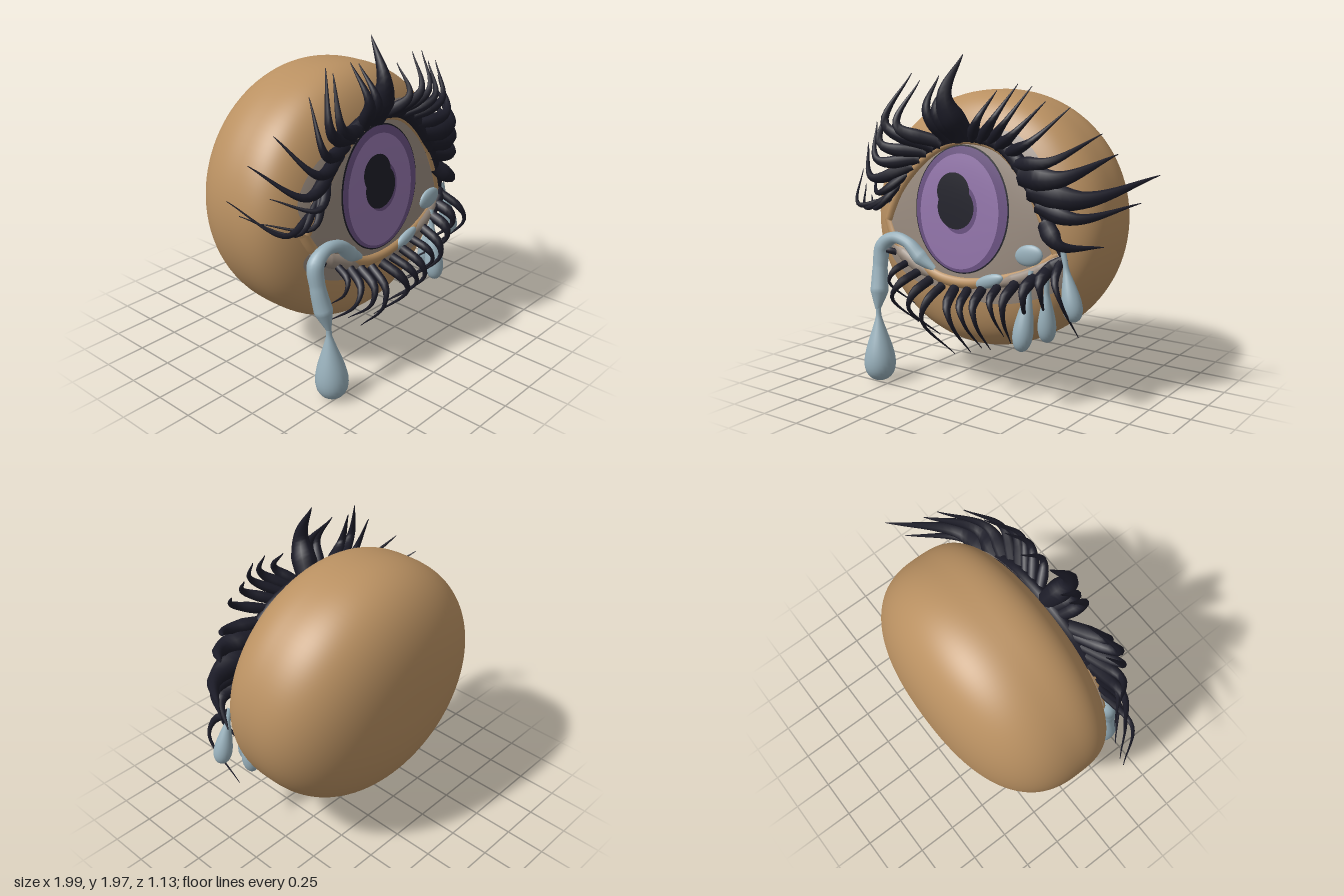
import * as THREE from 'three';
import { mergeVertices } from 'three/addons/utils/BufferGeometryUtils.js';

const material = (name, color, side = THREE.FrontSide) => {
  const m = new THREE.MeshStandardMaterial({ color, side });
  m.name = name;
  return m;
};
const V = (x = 0, y = 0, z = 0) => new THREE.Vector3(x, y, z);

// Body dimensions: centre, half sizes, backward lean, depth and roundness of the front and back
const CX = -0.045, CY = 1.0, CZ = -0.05, A = 0.805, B = 0.765, LEAN = 0.055;
const FRONT = { d: 0.4, n: 3.2 }, BACK = { d: 0.51, n: 2.45 };

// Height of the front surface above a point
function front(x, y) {
  const r = Math.min(1, Math.hypot((x - CX) / A, (y - CY) / B));
  return CZ - LEAN * (y - CY) + FRONT.d * Math.pow(1 - Math.pow(r, FRONT.n), 1 / FRONT.n);
}

// Almond eye opening, from the right corner to the left corner
const flatCurve = (pts) => new THREE.CatmullRomCurve3(pts.map(([x, y]) => V(x, y)));
const lowEdge = flatCurve([[-0.61, 0.98], [-0.54, 0.86], [-0.36, 0.76], [-0.18, 0.69], [0, 0.68], [0.2, 0.72], [0.42, 0.8], [0.55, 0.9]]);
const topEdge = flatCurve([[-0.61, 0.98], [-0.52, 1.16], [-0.36, 1.34], [-0.18, 1.45], [0, 1.48], [0.2, 1.43], [0.4, 1.22], [0.55, 0.9]]);
const EYE = V(-0.03, 1.05);

// Point on an edge, scaled outwards from the eye centre
const around = (edge, t, k) => edge.getPoint(t).sub(EYE).multiplyScalar(k).add(EYE);

export function createModel() {
  const model = new THREE.Group();
  const skin = material('skin', 0xba9162);
  const grey = material('greyWhite', 0x998b7f, THREE.DoubleSide);
  const ring = material('darkPurple', 0x6a5182, THREE.DoubleSide);
  const purple = material('purple', 0x9375ab, THREE.DoubleSide);
  const black = material('pupilBlack', 0x1f1f29, THREE.DoubleSide);
  const lashMat = material('lashBlack', 0x1c1c28);
  const tearMat = material('tearBlue', 0x98b0bb);

  const add = (name, geometry, mat, parent = model) => {
    const mesh = new THREE.Mesh(geometry, mat);
    mesh.name = name;
    parent.add(mesh);
    return mesh;
  };
  const group = (name) => {
    const g = new THREE.Group();
    g.name = name;
    model.add(g);
    return g;
  };

  // Tube whose radius follows a list of values along its path
  function taper(name, points, radii, mat, parent = model, segs = 18, sides = 8) {
    const curve = new THREE.CatmullRomCurve3(points);
    const geo = new THREE.TubeGeometry(curve, segs, 1, sides);
    const pos = geo.attributes.position, v = V();
    for (let i = 0; i <= segs; i++) {
      const c = curve.getPointAt(i / segs);
      const f = curve.getUtoTmapping(i / segs) * (radii.length - 1);
      const k = Math.min(radii.length - 2, Math.floor(f));
      const r = THREE.MathUtils.lerp(radii[k], radii[k + 1], f - k);
      for (let j = 0; j <= sides; j++) {
        const id = i * (sides + 1) + j;
        v.fromBufferAttribute(pos, id).sub(c).multiplyScalar(r).add(c);
        pos.setXYZ(id, v.x, v.y, v.z);
      }
    }
    geo.deleteAttribute('uv');
    geo.deleteAttribute('normal');
    const smooth = mergeVertices(geo, 1e-5);
    smooth.computeVertexNormals();
    return add(name, smooth, mat, parent);
  }

  // Thin layer on the body front; lower(u) and upper(u) give its two edges
  function patch(name, lower, upper, offset, mat) {
    const nu = 48, nv = 18;
    const geo = new THREE.PlaneGeometry(1, 1, nu, nv);
    const pos = geo.attributes.position;
    for (let i = 0; i < pos.count; i++) {
      const u = pos.getX(i) + 0.5, v = pos.getY(i) + 0.5;
      const p = lower(u).lerp(upper(u), v);
      pos.setXYZ(i, p.x, p.y, front(p.x, p.y) + offset);
    }
    geo.computeVertexNormals();
    add(name, geo, mat);
  }
  function disc(name, x, y, rx, ry, offset, mat) {
    const arc = (s) => (u) => V(x - rx * Math.cos(Math.PI * u), y + s * ry * Math.sin(Math.PI * u));
    patch(name, arc(-1), arc(1), offset, mat);
  }

  // Body: one lathe profile from the back pole to the front pole, leaning back a little
  const profile = [];
  for (let i = 0; i <= 80; i++) {
    const a = -Math.PI / 2 + (Math.PI * i) / 80;
    const { d, n } = a < 0 ? BACK : FRONT;
    const c = Math.max(0, Math.cos(a)), s = Math.abs(Math.sin(a));
    profile.push(new THREE.Vector2(Math.pow(c, 2 / n), Math.sign(a) * d * Math.pow(s, 2 / n)));
  }
  const bodyGeo = new THREE.LatheGeometry(profile, 96);
  const lean = new THREE.Matrix4().set(1, 0, 0, CX, 0, 1, 0, CY, 0, -LEAN, 1, CZ, 0, 0, 0, 1);
  bodyGeo.rotateX(Math.PI / 2).scale(A, B, 1).applyMatrix4(lean);
  add('body', bodyGeo, skin);

  // Eyeball, iris and pupil
  patch('eyeWhite', (u) => lowEdge.getPoint(u), (u) => topEdge.getPoint(u), 0.01, grey);
  disc('irisOutline', -0.045, 1.092, 0.33, 0.37, 0.014, black);
  disc('irisRing', -0.045, 1.092, 0.322, 0.362, 0.018, ring);
  disc('iris', -0.055, 1.08, 0.277, 0.332, 0.022, purple);
  disc('pupilShadow', -0.045, 1.1, 0.125, 0.145, 0.026, ring);
  disc('pupil', -0.068, 1.105, 0.128, 0.125, 0.031, black);
  disc('pupilTop', -0.09, 1.195, 0.115, 0.11, 0.03, black);

  // Eyelids and lash roots: rounded rolls following part of an eye edge
  function roll(name, edge, t0, t1, k, offset, radii, mat, parent) {
    const points = Array.from({ length: 15 }, (_, i) => {
      const p = around(edge, THREE.MathUtils.lerp(t0, t1, i / 14), k);
      return p.setZ(front(p.x, p.y) + offset);
    });
    taper(name, points, radii, mat, parent, 60, 10);
  }
  const upperLashes = group('upperLashes'), lowerLashes = group('lowerLashes');
  roll('upperLid', topEdge, 0, 1, 1.01, 0.005, [0.03, 0.032, 0.022, 0.022, 0.022], skin);
  roll('lowerLid', lowEdge, 0, 1, 1.03, 0, [0.03, 0.032, 0.035, 0.032, 0.025], skin);
  roll('lowerLidRight', lowEdge, 0.12, 0.42, 1.07, 0.005, [0.01, 0.045, 0.045, 0.01], grey);
  roll('lowerLidLeft', lowEdge, 0.66, 1, 1.07, 0.005, [0.01, 0.042, 0.042, 0.02], grey);
  roll('upperLashLine', topEdge, 0.2, 1, 1.09, 0.022, [0.01, 0.04, 0.042, 0.042, 0.05, 0.02], lashMat, upperLashes);
  roll('lowerLashClump', lowEdge, 0.82, 1, 1.12, 0.03, [0.01, 0.035, 0.04, 0.02], lashMat, lowerLashes);

  // Grey shading fanning out from the lids
  function shade(name, edge, t0, t1, k, lower) {
    const inner = (u) => around(edge, THREE.MathUtils.lerp(t0, t1, u), 1);
    const outer = (u) => around(edge, THREE.MathUtils.lerp(t0, t1, u), 1 + (k - 1) * Math.sqrt(Math.max(0, Math.sin(Math.PI * u))));
    patch(name, lower ? outer : inner, lower ? inner : outer, 0.007, grey);
  }
  shade('lowerShadeRight', lowEdge, 0.12, 0.45, 1.36, true);
  shade('lowerShadeLeft', lowEdge, 0.52, 0.99, 1.42, true);
  shade('upperShadeRight', topEdge, 0.05, 0.33, 1.26, false);
  shade('upperShadeLeft', topEdge, 0.6, 0.96, 1.3, false);

  // Upper lashes: tip x, tip y, thickness; roots are spread along the lid
  const upperTips = [
    [-1.0, 1.24, 0.022], [-0.95, 1.15, 0.022], [-0.86, 1.09, 0.025], [-0.8, 1.22, 0.03],
    [-0.9, 1.42, 0.04], [-0.77, 1.56, 0.04], [-0.56, 1.73, 0.04], [-0.44, 1.86, 0.045],
    [-0.38, 1.82, 0.045], [-0.24, 1.85, 0.045], [-0.17, 1.83, 0.045], [-0.07, 1.97, 0.075],
    [0.16, 1.77, 0.035], [0.3, 1.81, 0.035], [0.39, 1.8, 0.03], [0.47, 1.72, 0.035],
    [0.6, 1.69, 0.035], [0.75, 1.55, 0.045], [0.82, 1.44, 0.075], [0.99, 1.32, 0.08],
    [0.92, 1.17, 0.055], [0.77, 0.93, 0.055],
  ];
  upperTips.forEach(([x, y, r], i) => {
    const root = around(topEdge, 0.1 + (0.83 * i) / (upperTips.length - 1), 1.04);
    const z = front(root.x, root.y);
    const sweep = Math.max(0, Math.abs(x - CX) - 0.4) ** 2 * (x > 0 ? 0.95 : 0.6);
    const bend = x < -0.7 ? -0.28 : x < -0.3 ? -0.45 : x < 0 ? -0.1 : 0.13;
    const mid = V((root.x + x) / 2 + bend * (y - root.y), (root.y + y) / 2 - bend * (x - root.x), z + 0.13 - sweep * 0.4);
    taper('upperLash', [root.setZ(z + 0.02), mid, V(x, y, z - sweep)], [r * 0.8, r, r * 0.6, r * 0.3, 0.002], lashMat, upperLashes);
  });

  // Lower lashes: tip x, tip y, thickness; they bow forward and curl back in
  const lowerTips = [
    [-0.61, 0.73, 0.02], [-0.43, 0.47, 0.022], [-0.42, 0.35, 0.026], [-0.25, 0.3, 0.028],
    [-0.14, 0.2, 0.026], [-0.02, 0.23, 0.03], [0.06, 0.27, 0.026], [0.12, 0.27, 0.028],
    [0.22, 0.37, 0.025], [0.25, 0.33, 0.03], [0.36, 0.45, 0.035], [0.47, 0.52, 0.035], [0.66, 0.42, 0.025],
  ];
  lowerTips.forEach(([x, y, r], i) => {
    const root = around(lowEdge, 0.2 + (0.77 * i) / (lowerTips.length - 1), 1.12);
    const z = front(root.x, root.y), curl = Math.min(1, (root.y - y) / 0.35);
    const mid = V((root.x + x) / 2 + (root.x < -0.1 ? -0.055 : 0.055), (root.y + y) / 2 + 0.03, z + 0.05 + 0.12 * curl);
    const rise = V((root.x + mid.x) / 2, (root.y + mid.y) / 2 + 0.01, z + 0.04 + 0.12 * curl);
    taper('lowerLash', [root.setZ(z + 0.03), rise, mid, V(x, y, z + 0.07 - 0.13 * curl)], [r, r, r * 0.6, r * 0.35, 0.002], lashMat, lowerLashes);
  });

  // Tears: teardrops hang from a top point to a bottom point
  const tears = group('tears');
  function drop(name, top, bottom, radius) {
    const axis = top.sub(bottom), h = axis.length(), pts = [];
    for (let i = 0; i <= 28; i++) {
      const a = (Math.PI * i) / 28;
      const r = 1.66 * radius * Math.sin(a) * Math.cos(a / 2) ** 2.5;
      pts.push(new THREE.Vector2(i > 14 ? Math.max(0.016, r) : r, (h * (1 - Math.cos(a))) / 2));
    }
    const mesh = add(name, new THREE.LatheGeometry(pts, 24), tearMat, tears);
    mesh.position.copy(bottom);
    mesh.quaternion.setFromUnitVectors(V(0, 1, 0), axis.normalize());
  }
  taper('tearStream', [V(-0.23, 0.72, 0.36), V(-0.33, 0.78, 0.37), V(-0.42, 0.86, 0.38), V(-0.53, 0.88, 0.38),
    V(-0.615, 0.82, 0.38), V(-0.625, 0.7, 0.4), V(-0.61, 0.55, 0.43), V(-0.6, 0.44, 0.46)],
  [0.02, 0.048, 0.036, 0.036, 0.05, 0.045, 0.055, 0.015], tearMat, tears, 60, 14);
  drop('largeTear', V(-0.6, 0.5, 0.455), V(-0.58, 0, 0.47), 0.095);
  drop('innerTear', V(0.44, 0.8, 0.36), V(0.415, 0.35, 0.43), 0.057);
  drop('middleTear', V(0.52, 0.78, 0.33), V(0.495, 0.38, 0.28), 0.052);
  drop('outerTear', V(0.61, 0.92, 0.31), V(0.7, 0.54, 0.33), 0.056);
  function pool(x, y, sx, sy, tilt) {
    const mesh = add('tearPool', new THREE.SphereGeometry(1, 24, 14), tearMat, tears);
    mesh.scale.set(sx, sy, 0.025);
    mesh.position.set(x, y, front(x, y) + 0.025);
    mesh.rotation.z = tilt;
  }
  pool(0.42, 0.88, 0.09, 0.06, 0.2);
  pool(0.17, 0.705, 0.1, 0.038, 0.35);

  return model;
}
